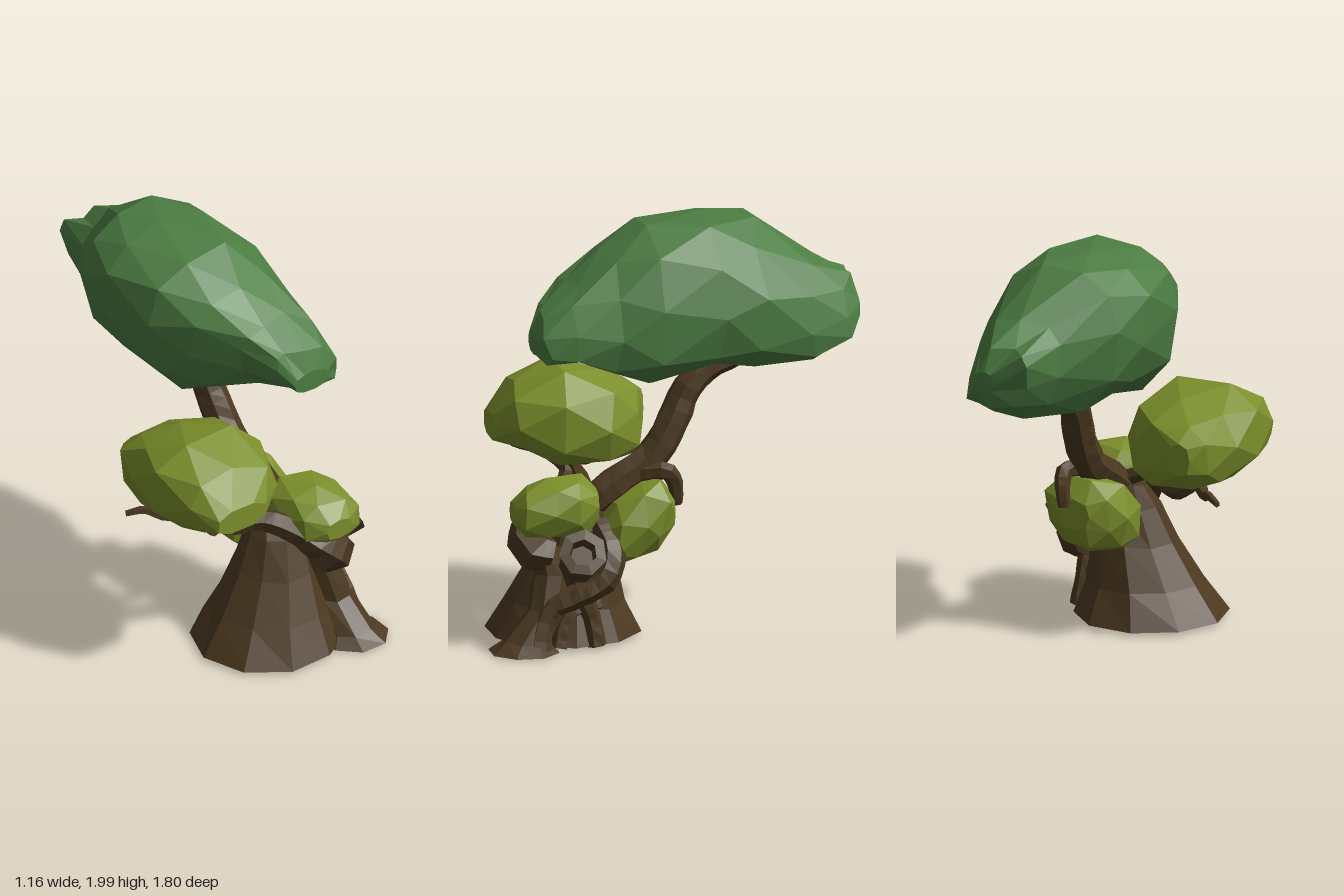
import * as THREE from 'three';

const mat = (name, color, extra = {}) => {
  const m = new THREE.MeshStandardMaterial({ color, flatShading: true, ...extra });
  m.name = name;
  return m;
};

// Seeded noise in -1..1 for hand-cut facets
let seed = 7;
const noise = () => {
  seed = (seed * 16807) % 2147483647;
  return (seed / 2147483647) * 2 - 1;
};

// Skin closed rings of points, cap the end and, unless open, the start
function loft(rings, open = false) {
  const pos = [];
  const tri = (...pts) => pts.forEach((p) => pos.push(p.x, p.y, p.z));
  const n = rings[0].length;
  for (let k = 0; k < rings.length - 1; k++) {
    for (let i = 0; i < n; i++) {
      const j = (i + 1) % n;
      const a = rings[k][i], b = rings[k][j], c = rings[k + 1][j], d = rings[k + 1][i];
      tri(a, b, d);
      tri(b, c, d);
    }
  }
  const cap = (ring, flip) => {
    const mid = new THREE.Vector3();
    ring.forEach((p) => mid.addScaledVector(p, 1 / n));
    ring.forEach((p, i) => {
      const q = ring[(i + 1) % n];
      flip ? tri(mid, q, p) : tri(mid, p, q);
    });
  };
  if (!open) cap(rings[0], true);
  cap(rings[rings.length - 1], false);
  const g = new THREE.BufferGeometry();
  g.setAttribute('position', new THREE.Float32BufferAttribute(pos, 3));
  g.computeVertexNormals();
  return g;
}

// Leaf mass from sections along z: [z, xMin, xMax, yMin, yMax],
// rounder on top and boxier below, with the +x flank lowered by tilt
function foliage(sections, sides, topPower, bottomPower, tilt = 0) {
  return loft(sections.map(([z, x0, x1, y0, y1], k) => {
    const inner = k > 0 && k < sections.length - 1 ? 1 : 0;
    const fit = k % 2 ? 1 / Math.cos(Math.PI / sides) ** bottomPower : 1;
    return Array.from({ length: sides }, (_, i) => {
      const a = ((i + k * 0.5) / sides) * Math.PI * 2;
      const power = Math.sin(a) > 0 ? topPower : bottomPower;
      const bulge = (v) => Math.sign(v) * Math.abs(v) ** power * fit;
      const r = 1 + 0.022 * noise();
      const c = bulge(Math.cos(a)) * r, s = bulge(Math.sin(a)) * r;
      return new THREE.Vector3(
        (x0 + x1) / 2 + (c * (x1 - x0)) / 2,
        (y0 + y1) / 2 + (s * (y1 - y0)) / 2 - tilt * c ** 3 * inner,
        z + 0.03 * noise() * inner
      );
    });
  }));
}

// Tapering limb through points [x, y, z, radius]
function limb(points, sides = 6, steps = 3) {
  const curve = new THREE.CatmullRomCurve3(points.map(([x, y, z]) => new THREE.Vector3(x, y, z)));
  const count = (points.length - 1) * steps;
  const { normals, binormals } = curve.computeFrenetFrames(count);
  const rings = [];
  for (let k = 0; k <= count; k++) {
    const u = curve.getUtoTmapping(k / count) * (points.length - 1);
    const i = Math.min(Math.floor(u), points.length - 2);
    const r = THREE.MathUtils.lerp(points[i][3], points[i + 1][3], u - i);
    const p = curve.getPointAt(k / count);
    rings.push(Array.from({ length: sides }, (_, s) => {
      const a = (s / sides) * Math.PI * 2;
      const rr = r * (1 + 0.06 * noise());
      return p.clone()
        .addScaledVector(normals[k], Math.cos(a) * rr)
        .addScaledVector(binormals[k], Math.sin(a) * rr);
    }));
  }
  return loft(rings);
}

// Upright flared stem, open below, from sections [y, x, z, radius]
function stem(sections, sides) {
  return loft(sections.map(([y, x, z, r], k) =>
    Array.from({ length: sides }, (_, i) => {
      const a = ((i + 0.5) / sides) * Math.PI * 2;
      const rr = r * (1.02 + 0.03 * noise());
      return new THREE.Vector3(x + Math.sin(a) * rr, k ? y + 0.01 * noise() : y, z + Math.cos(a) * rr);
    })
  ), true);
}

export function createModel() {
  const group = new THREE.Group();
  const bark = mat('bark brown', 0x4c3921, { side: THREE.DoubleSide });
  const leaf = mat('leaf green', 0x4d7d43);
  const olive = mat('olive leaf', 0x7c8f2b);
  const add = (name, geometry, material) => {
    const m = new THREE.Mesh(geometry, material);
    m.name = name;
    group.add(m);
    return m;
  };

  // Trunk and the front root beside it
  add('trunk', stem([
    [0.02, 0.04, 0.5, 0.36], [0.18, 0.065, 0.49, 0.27], [0.38, 0.105, 0.47, 0.2],
    [0.55, 0.13, 0.45, 0.145], [0.66, 0.13, 0.42, 0.1]
  ], 10), bark);
  add('frontRoot', stem([
    [0.01, 0.365, 0.745, 0.165], [0.06, 0.35, 0.73, 0.11], [0.2, 0.325, 0.63, 0.09],
    [0.36, 0.28, 0.6, 0.085], [0.48, 0.26, 0.62, 0.08]
  ], 8), bark);

  // Roots twisting down the model's left side
  add('wrappingRoot', limb([
    [0.22, 0.57, 0.36, 0.055], [0.34, 0.46, 0.32, 0.065], [0.39, 0.35, 0.36, 0.065],
    [0.39, 0.27, 0.5, 0.06], [0.38, 0.21, 0.62, 0.055], [0.4, 0.1, 0.67, 0.05], [0.42, 0.02, 0.68, 0.06]
  ]), bark);
  add('sideRoot', limb([
    [0.3, 0.42, 0.49, 0.09], [0.35, 0.29, 0.47, 0.055], [0.36, 0.15, 0.42, 0.04], [0.37, 0.02, 0.4, 0.045]
  ]), bark);
  add('archRoot', limb([
    [0.28, 0.2, 0.38, 0.04], [0.34, 0.2, 0.49, 0.04], [0.36, 0.13, 0.56, 0.035], [0.37, 0.02, 0.58, 0.045]
  ], 5), bark);

  // Hollow broken stump
  const profile = [[0.12, 0], [0.095, 0.15], [0.095, 0.22], [0.115, 0.31], [0.065, 0.315], [0.055, 0.23], [0, 0.23]];
  const stump = add('hollowStump', new THREE.LatheGeometry(
    profile.map(([r, y]) => new THREE.Vector2(r, y)), 7), bark);
  stump.position.set(0.255, 0.36, 0.47);
  stump.quaternion.setFromUnitVectors(
    new THREE.Vector3(0, 1, 0), new THREE.Vector3(0.27, 0.155, 0.025).normalize());

  // Main limb carrying the canopy
  add('mainLimb', limb([
    [0.14, 0.63, 0.42, 0.08], [0.15, 0.74, 0.27, 0.083], [0.13, 0.86, 0.09, 0.08],
    [0.11, 1.02, -0.01, 0.077], [0.09, 1.18, -0.09, 0.072], [0.08, 1.27, -0.2, 0.06], [0.07, 1.31, -0.34, 0.045]
  ], 7), bark);

  // Knotted side branch and its twigs
  add('sideBranch', limb([
    [0.29, 0.45, 0.6, 0.08], [0.28, 0.48, 0.7, 0.11], [0.2, 0.55, 0.69, 0.09], [0.11, 0.62, 0.62, 0.065],
    [0.0, 0.67, 0.52, 0.055], [-0.14, 0.66, 0.45, 0.052], [-0.25, 0.72, 0.42, 0.045],
    [-0.34, 0.78, 0.5, 0.036], [-0.39, 0.82, 0.66, 0.022]
  ]), bark);
  add('longTwig', limb([
    [-0.22, 0.71, 0.43, 0.04], [-0.32, 0.745, 0.36, 0.035], [-0.4, 0.72, 0.28, 0.028],
    [-0.46, 0.745, 0.22, 0.022], [-0.54, 0.73, 0.17, 0.015]
  ], 5), bark);
  add('crossTwig', limb([
    [0.1, 0.69, 0.4, 0.04], [-0.02, 0.74, 0.4, 0.035], [-0.13, 0.75, 0.4, 0.028],
    [-0.25, 0.77, 0.4, 0.028], [-0.38, 0.82, 0.38, 0.02]
  ], 5), bark);

  // Drooping hooked branch at the back
  add('hookBranch', limb([
    [0.13, 0.75, 0.24, 0.05], [0.19, 0.8, 0.11, 0.045], [0.215, 0.8, 0.03, 0.042],
    [0.205, 0.74, -0.005, 0.038], [0.19, 0.64, -0.015, 0.028]
  ]), bark);

  // Leaf masses
  add('canopy', foliage([
    [-0.9, 0.02, 0.13, 1.47, 1.57], [-0.84, -0.14, 0.2, 1.39, 1.68], [-0.66, -0.2, 0.29, 1.29, 1.78],
    [-0.4, -0.35, 0.345, 1.26, 1.97], [-0.2, -0.4, 0.39, 1.29, 2.0], [0.1, -0.35, 0.4, 1.22, 1.95],
    [0.3, -0.25, 0.385, 1.28, 1.85], [0.48, -0.1, 0.375, 1.38, 1.71], [0.62, 0.01, 0.36, 1.39, 1.6],
    [0.67, 0.08, 0.27, 1.4, 1.5]
  ], 11, 0.95, 0.82, 0.08), leaf);
  add('sideFoliage', foliage([
    [0.04, -0.47, -0.35, 0.88, 1.04], [0.11, -0.52, -0.12, 0.79, 1.1], [0.26, -0.58, 0.01, 0.755, 1.18],
    [0.48, -0.58, 0.025, 0.77, 1.22], [0.67, -0.54, -0.04, 0.83, 1.14], [0.78, -0.45, -0.18, 0.87, 0.99]
  ], 8, 0.85, 0.75, 0.02), olive);
  add('frontFoliage', foliage([
    [0.38, 0.15, 0.33, 0.6, 0.75], [0.46, 0.08, 0.4, 0.55, 0.8], [0.6, 0.07, 0.42, 0.52, 0.81],
    [0.72, 0.11, 0.4, 0.55, 0.76], [0.78, 0.18, 0.33, 0.6, 0.7]
  ], 8, 0.82, 0.78), olive);
  add('backFoliage', foliage([
    [0, 0.06, 0.24, 0.53, 0.68], [0.07, 0, 0.34, 0.44, 0.77], [0.18, -0.05, 0.37, 0.38, 0.77],
    [0.3, -0.02, 0.36, 0.37, 0.67], [0.37, 0.06, 0.28, 0.41, 0.55]
  ], 8, 0.82, 0.78), olive);

  return group;
}
